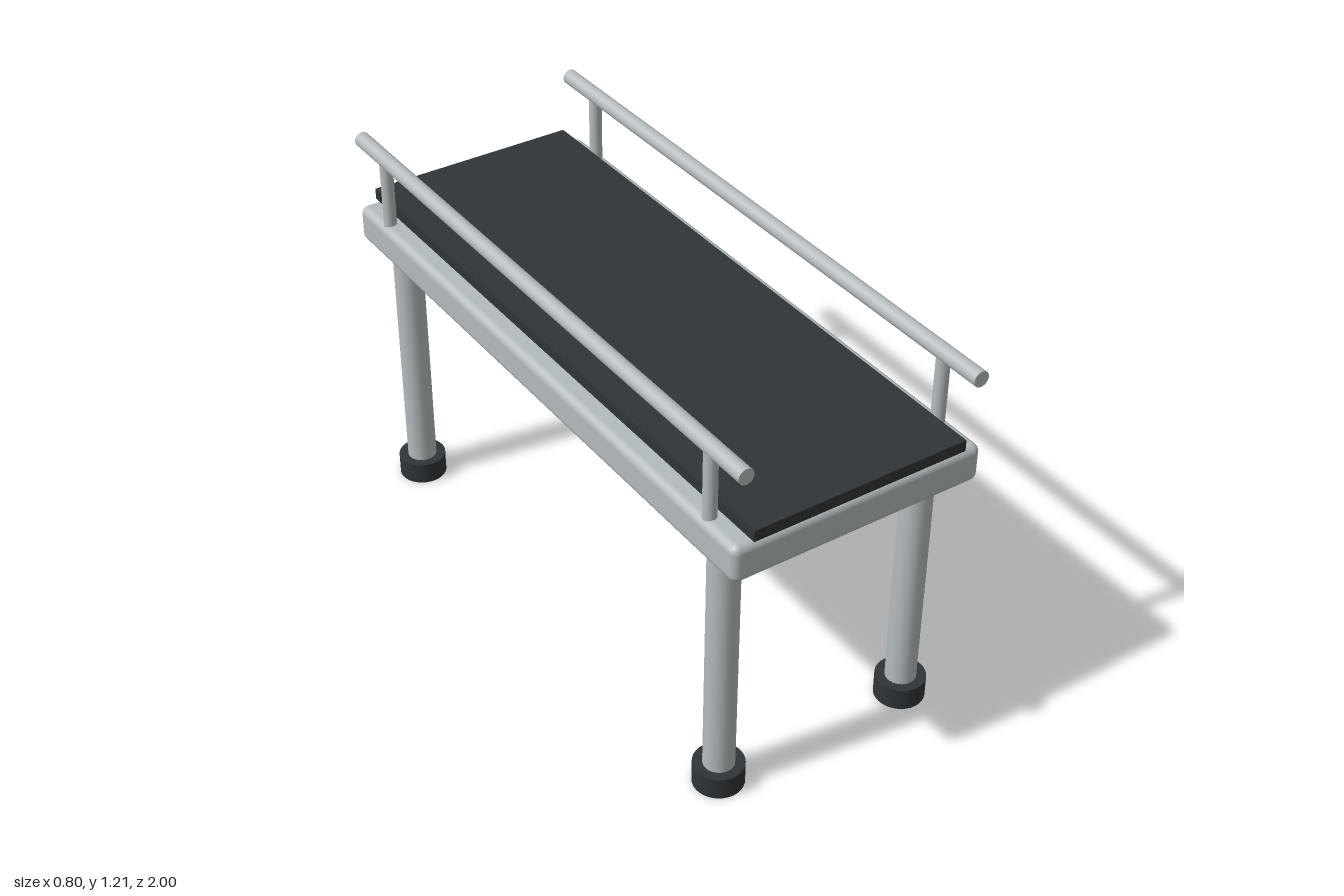
import * as THREE from 'three';
import { RoundedBoxGeometry } from 'three/addons/geometries/RoundedBoxGeometry.js';

export function createModel() {
  const model = new THREE.Group();
  model.name = 'examinationTable';
  const metal = new THREE.MeshStandardMaterial({ color: 0xb4bbbd });
  const dark = new THREE.MeshStandardMaterial({ color: 0x303437 });

  const add = (name, geometry, material, x, y, z) => {
    const mesh = new THREE.Mesh(geometry, material);
    mesh.name = name;
    mesh.position.set(x, y, z);
    model.add(mesh);
    return mesh;
  };
  // Upright cylinder between two heights
  const post = (name, radius, y0, y1, material, x, z) =>
    add(name, new THREE.CylinderGeometry(radius, radius, y1 - y0, 32), material, x, (y0 + y1) / 2, z);

  // Table top and mat
  add('deck', new RoundedBoxGeometry(0.8, 0.118, 2, 3, 0.025), metal, 0, 0.902, 0);
  add('mat', new THREE.BoxGeometry(0.68, 0.035, 2), dark, 0, 0.982, 0);

  for (const sx of [-1, 1]) {
    const side = sx > 0 ? 'left' : 'right';

    // Side rail
    const rail = add(side + 'Rail', new THREE.CylinderGeometry(0.024, 0.024, 2, 32), metal, sx * 0.37, 1.182, 0);
    rail.rotation.x = Math.PI / 2;

    // Legs with feet, and rail posts above them
    for (const sz of [-1, 1]) {
      const corner = side + (sz > 0 ? 'Front' : 'Back');
      const z = sz * 0.85;
      post(corner + 'Leg', 0.046, 0.035, 0.86, metal, sx * 0.321, z);
      post(corner + 'Foot', 0.075, 0, 0.07, dark, sx * 0.321, z);
      post(corner + 'RailPost', 0.02, 0.94, 1.18, metal, sx * 0.37, z);
    }
  }
  return model;
}
